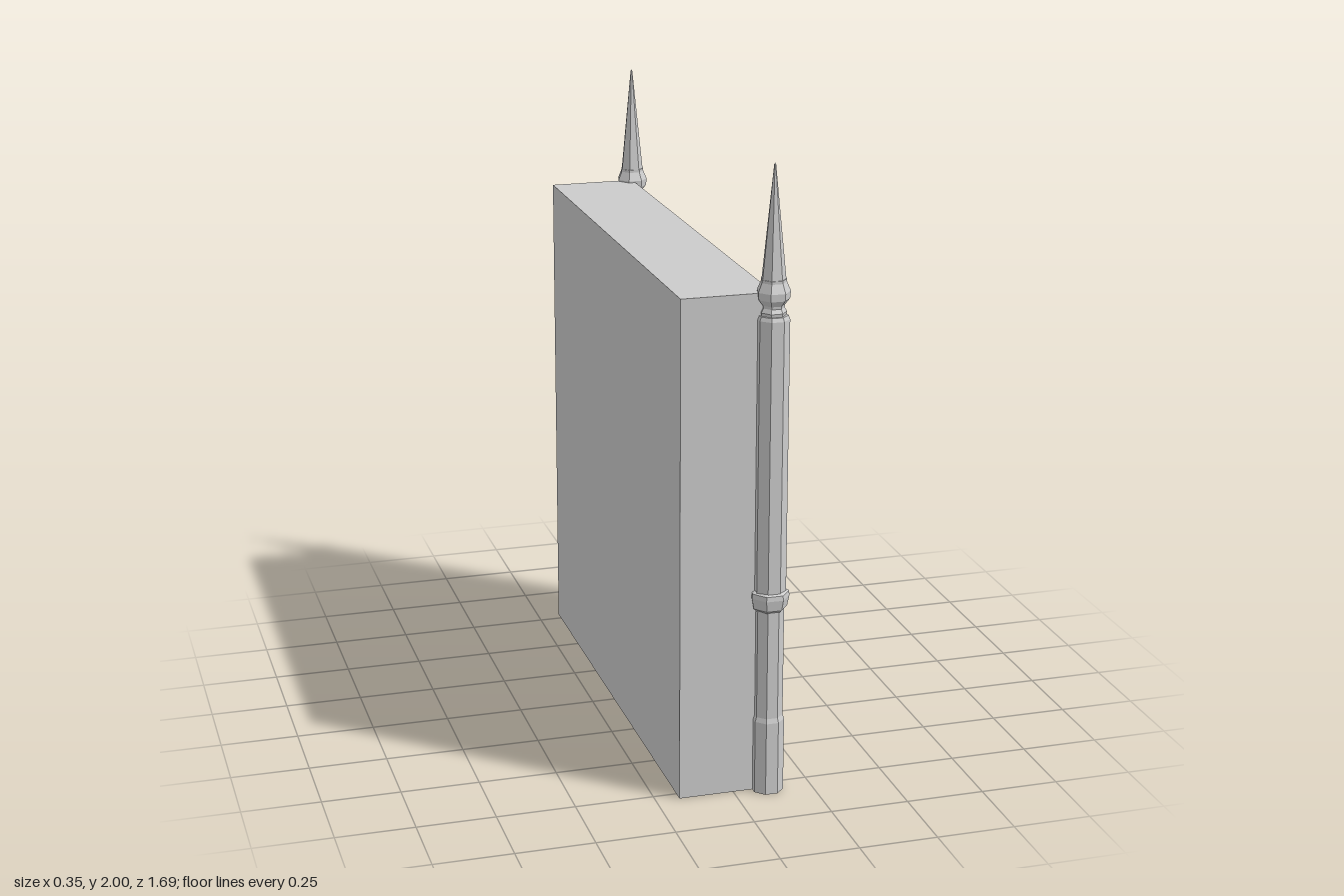
import * as THREE from 'three';

const grey = new THREE.MeshStandardMaterial({ color: 0xcccccc, flatShading: true, side: THREE.DoubleSide });

function add(parent, name, geometry) {
  const mesh = new THREE.Mesh(geometry, grey);
  mesh.name = name;
  parent.add(mesh);
  return mesh;
}

// Box given by its lower and upper corner
function block(parent, name, [x0, y0, z0], [x1, y1, z1]) {
  add(parent, name, new THREE.BoxGeometry(x1 - x0, y1 - y0, z1 - z0))
    .position.set((x0 + x1) / 2, (y0 + y1) / 2, (z0 + z1) / 2);
}

// Moulding with an (x, y) profile, running along z
function moulding(parent, name, profile, halfLength) {
  const shape = new THREE.Shape(profile.map(([x, y]) => new THREE.Vector2(x, y)));
  const geometry = new THREE.ExtrudeGeometry(shape, { depth: 2 * halfLength, bevelEnabled: false });
  geometry.translate(0, 0, -halfLength);
  add(parent, name, geometry);
}

// Nested rectangles [x, zMin, zMax, yMin, yMax] joined into a stepped panel facing +x
function panelGeometry(rings) {
  const corners = rings.map(([x, z0, z1, y0, y1]) => [[x, y0, z1], [x, y0, z0], [x, y1, z0], [x, y1, z1]]);
  const positions = [];
  const quad = (a, b, c, d) => positions.push(...a, ...b, ...c, ...a, ...c, ...d);
  for (let r = 0; r < corners.length - 1; r++) {
    for (let i = 0; i < 4; i++) {
      const j = (i + 1) % 4;
      quad(corners[r][i], corners[r][j], corners[r + 1][j], corners[r + 1][i]);
    }
  }
  quad(...corners[corners.length - 1]);
  const geometry = new THREE.BufferGeometry();
  geometry.setAttribute('position', new THREE.Float32BufferAttribute(positions, 3));
  geometry.computeVertexNormals();
  return geometry;
}

function turned(parent, name, profile, sides) {
  const points = profile.map(([r, y]) => new THREE.Vector2(r, y));
  add(parent, name, new THREE.LatheGeometry(points, sides, Math.PI / sides));
}

function createPost(side) {
  const post = new THREE.Group();
  post.name = side > 0 ? 'leftPost' : 'rightPost';
  post.position.set(0.11, 0, side * 0.787);
  turned(post, 'postBase', [[0, 0], [0.051, 0], [0.051, 0.24], [0.046, 0.255], [0, 0.255]], 8);
  turned(post, 'lowerShaft', [[0.046, 0.25], [0.046, 0.62]], 8);
  turned(post, 'collar', [[0.044, 0.605], [0.055, 0.615], [0.062, 0.65], [0.06, 0.665], [0.048, 0.672]], 7);
  turned(post, 'upperShaft', [[0.051, 0.66], [0.051, 1.53], [0.046, 1.542], [0, 1.542]], 8);
  turned(post, 'neck', [[0.039, 1.54], [0.041, 1.552], [0.034, 1.565], [0.036, 1.58]], 7);
  turned(post, 'finialBall', [[0.034, 1.572], [0.05, 1.592], [0.052, 1.615], [0.04, 1.643], [0.04, 1.652], [0, 1.655]], 7);
  turned(post, 'spire', [[0.038, 1.65], [0.003, 1.995], [0, 2]], 7);
  return post;
}

export function createModel() {
  const model = new THREE.Group();
  model.name = 'bookcase';
  const back = -0.175, front = 0.11, half = 0.785, inner = 0.745;

  // Carcass: back, sides, cupboard body and top
  const carcass = new THREE.Group();
  carcass.name = 'carcass';
  model.add(carcass);
  block(carcass, 'backPanel', [back, 0, -half], [back + 0.01, 1.61, half]);
  for (const s of [-1, 1]) {
    const z = [s * inner, s * half].sort((a, b) => a - b);
    block(carcass, 'sidePanel', [back + 0.01, 0, z[0]], [front, 1.61, z[1]]);
  }
  block(carcass, 'cupboardBody', [back + 0.01, 0, -inner], [0.09, 0.61, inner]);
  moulding(carcass, 'topBoard', [[back + 0.01, 1.54], [0.115, 1.54], [0.124, 1.55], [0.122, 1.58], [0.11, 1.61], [back + 0.01, 1.61]], inner);

  // Counter with a stepped edge
  moulding(model, 'counter', [[back + 0.01, 0.605], [0.115, 0.605], [0.118, 0.618], [0.127, 0.622],
    [0.127, 0.645], [0.118, 0.658], [0.11, 0.66], [back + 0.01, 0.66]], inner);

  // Shelves with rounded front edges
  for (const y of [0.848, 1.076, 1.31]) {
    moulding(model, 'shelf', [[back + 0.01, y], [0.115, y], [0.123, y + 0.007], [0.126, y + 0.017],
      [0.121, y + 0.029], [0.11, y + 0.036], [back + 0.01, y + 0.036]], inner);
  }

  // Four doors with recessed panels
  for (const c of [-0.575, -0.26, 0.26, 0.575]) {
    const w = Math.abs(c) > 0.4 ? 0.17 : 0.155;
    const rect = (x, hw, y0, y1) => [x, c - hw, c + hw, y0, y1];
    add(model, 'door', panelGeometry([
      rect(0.09, w, 0, 0.608), rect(0.106, w, 0, 0.608), rect(0.123, w - 0.02, 0.016, 0.59),
      rect(0.123, 0.09, 0.07, 0.54), rect(0.092, 0.06, 0.1, 0.508),
    ]));
  }

  // Projecting centre pilaster with chamfered sides
  const outline = new THREE.Shape([[0.08, -0.108], [0.122, -0.108], [0.153, -0.078], [0.153, 0.078], [0.122, 0.108], [0.08, 0.108]]
    .map(([x, z]) => new THREE.Vector2(x, -z)));
  const pilaster = new THREE.ExtrudeGeometry(outline, { depth: 0.607, bevelEnabled: false });
  pilaster.rotateX(-Math.PI / 2);
  add(model, 'centrePilaster', pilaster);

  // Corner posts with spires
  for (const s of [-1, 1]) model.add(createPost(s));
  return model;
}
